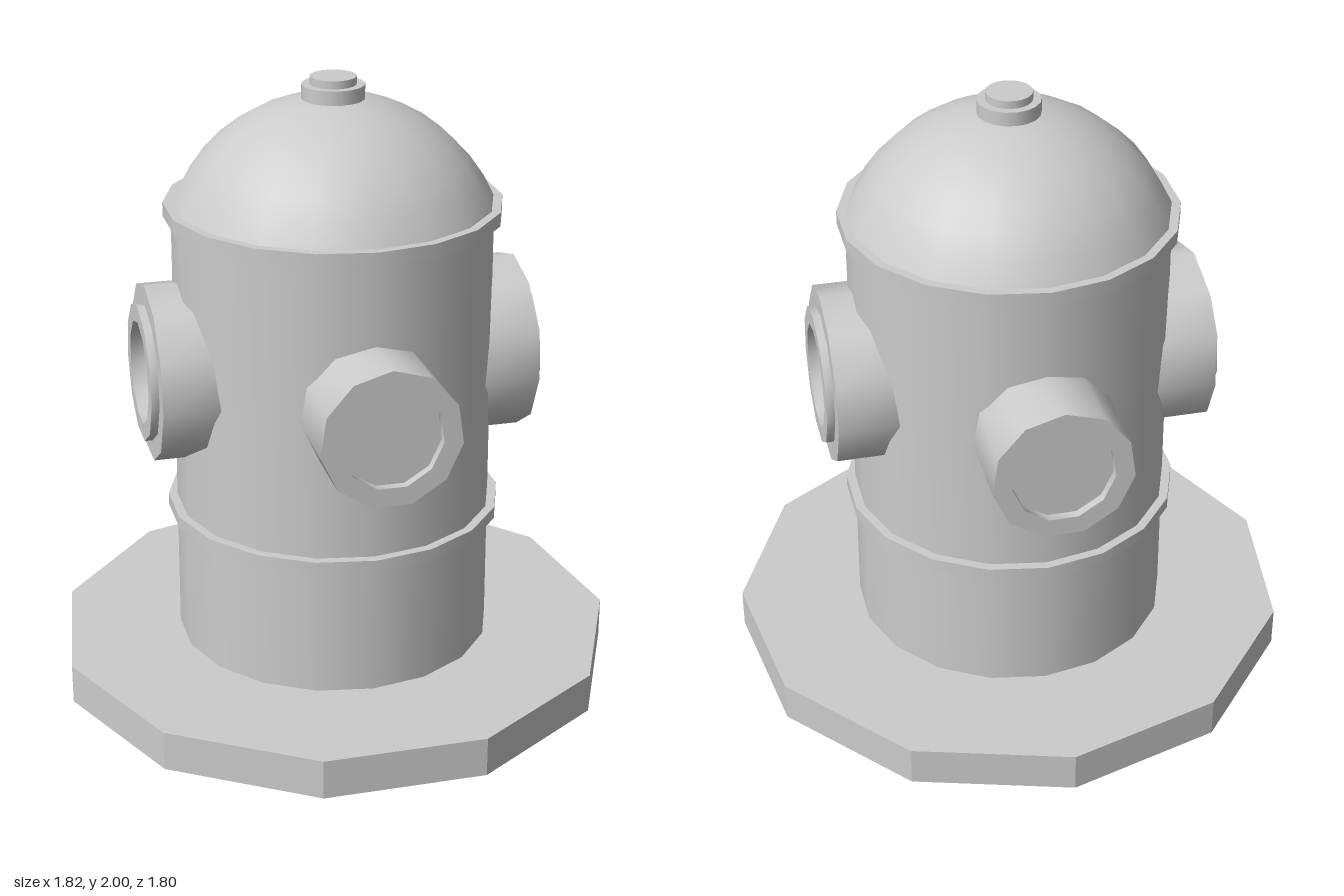
import * as THREE from 'three';
import { toCreasedNormals } from 'three/addons/utils/BufferGeometryUtils.js';

const SIDES = 18;

export function createModel() {
  const group = new THREE.Group();
  group.name = 'hydrant';
  const material = new THREE.MeshStandardMaterial({ color: 0xcccccc });
  const flatMaterial = new THREE.MeshStandardMaterial({ color: 0xcccccc, flatShading: true });

  const add = (name, geometry, mat = material) => {
    const mesh = new THREE.Mesh(geometry, mat);
    mesh.name = name;
    group.add(mesh);
    return mesh;
  };

  // Upright drum between two heights, on the body axis
  const drum = (name, rTop, rBottom, y0, y1) => {
    const geometry = new THREE.CylinderGeometry(rTop, rBottom, y1 - y0, SIDES);
    add(name, geometry.translate(0, (y0 + y1) / 2, 0.007));
  };

  // Eleven-sided ground plate, one corner to the back
  const plate = new THREE.CylinderGeometry(0.921, 0.921, 0.13, 11);
  add('basePlate', plate.rotateY(Math.PI).translate(0, 0.065, 0.016), flatMaterial);

  // Barrel and its two collars
  drum('barrel', 0.511, 0.517, 0.12, 1.58);
  drum('lowerCollar', 0.544, 0.544, 0.56, 0.6);
  drum('upperCollar', 0.536, 0.536, 1.56, 1.605);

  // Domed bonnet: a spherical cap
  const capRadius = 0.5525, capCentre = 1.3875;
  const startAngle = Math.asin((1.6 - capCentre) / capRadius);
  const domeProfile = [];
  for (let i = 0; i <= 8; i++) {
    const a = startAngle + (Math.PI / 2 - startAngle) * (i / 8);
    domeProfile.push(new THREE.Vector2(
      i === 8 ? 0 : capRadius * Math.cos(a), capCentre + capRadius * Math.sin(a)));
  }
  add('dome', new THREE.LatheGeometry(domeProfile, SIDES).translate(0, 0, 0.007));

  // Operating nut on top
  drum('nutBase', 0.099, 0.099, 1.9, 1.975);
  drum('nutTop', 0.073, 0.073, 1.97, 2);

  // Outlets: eleven-sided turned profiles (radius, distance from axis), recessed at the mouth
  const smallOutlet = [[0.222, 0.4], [0.222, 0.713], [0.161, 0.713], [0.161, 0.685], [0, 0.685]];
  const largeOutlet = [[0.287, 0.38], [0.287, 0.608], [0.222, 0.608], [0.222, 0.633],
    [0.167, 0.633], [0.167, 0.58], [0, 0.58]];
  const outlets = [['frontOutlet', smallOutlet], ['leftOutlet', largeOutlet],
    ['backOutlet', smallOutlet], ['rightOutlet', largeOutlet]];
  outlets.forEach(([name, profile], i) => {
    const points = profile.map(([r, d]) => new THREE.Vector2(r, d));
    const geometry = new THREE.LatheGeometry(points, 11, Math.PI);
    geometry.rotateX(Math.PI / 2).rotateY(i * Math.PI / 2).translate(0, 1.077, 0);
    add(name, toCreasedNormals(geometry, 0.7));
  });

  return group;
}
